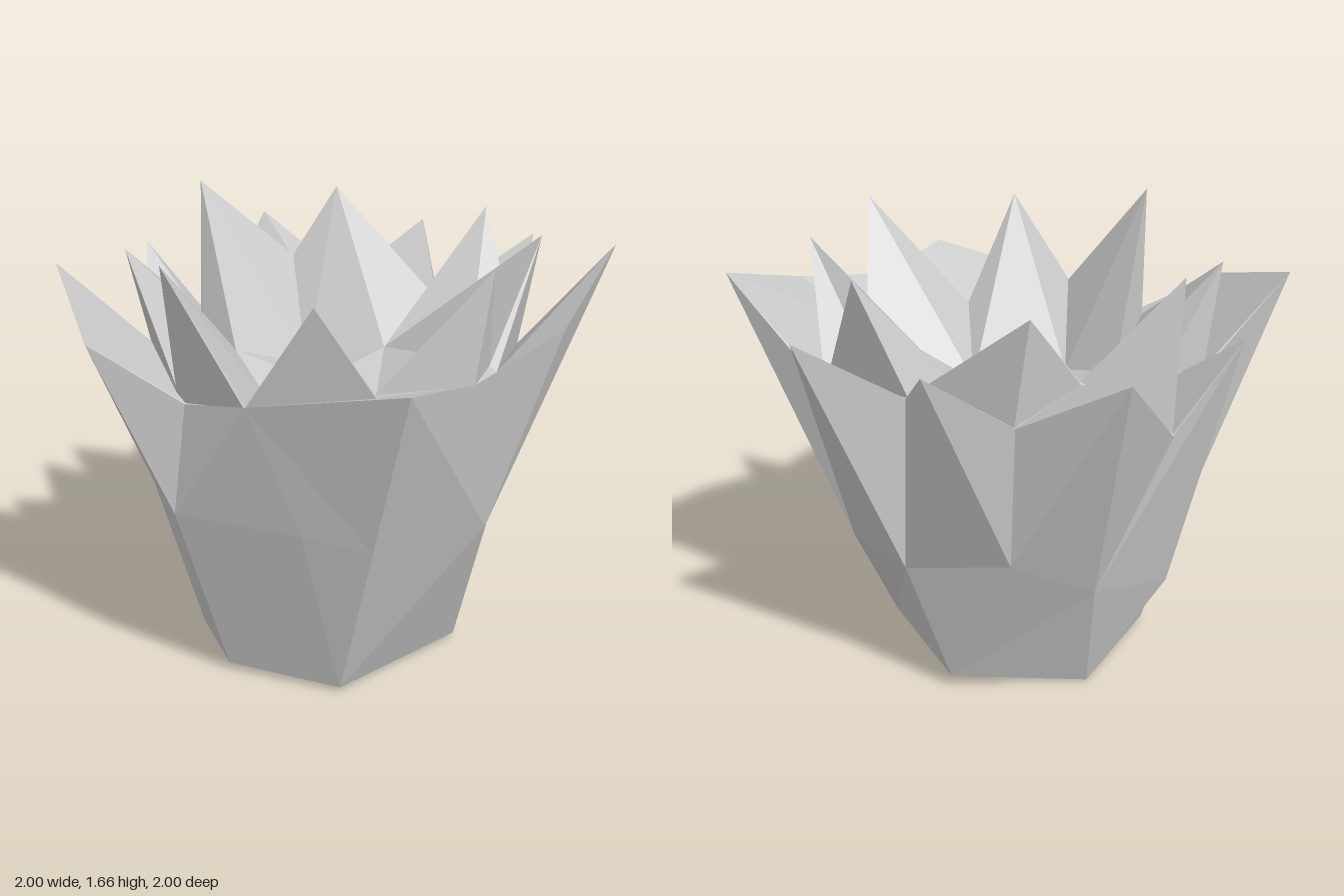
import * as THREE from 'three';

// Angle of each point around the plant; a fourth value overrides it (degrees)
const angles = (ring) => {
  let last = -Infinity;
  return [...ring, ring[0]].map(([x, , z, key]) => {
    let a = key ?? THREE.MathUtils.radToDeg(Math.atan2(x, z));
    while (a < last) a += 360;
    return (last = a);
  });
};

// Joins two closed rings, always stepping along the one whose next angle is smaller
function zip(upper, lower) {
  const ua = angles(upper), la = angles(lower), tris = [];
  const n = upper.length, m = lower.length;
  let i = 0, j = 0;
  while (i < n || j < m) {
    const a = upper[i % n], b = lower[j % m];
    if (j >= m || (i < n && ua[i + 1] < la[j + 1])) tris.push(a, b, upper[++i % n]);
    else tris.push(a, b, lower[++j % m]);
  }
  return tris;
}

// Closes a ring with a fan around a centre point
function fan(ring, centre, up) {
  return ring.flatMap((p, i) => {
    const q = ring[(i + 1) % ring.length];
    return up ? [centre, p, q] : [centre, q, p];
  });
}

export function createModel() {
  const group = new THREE.Group();
  const material = new THREE.MeshStandardMaterial({
    color: 0xcccccc, flatShading: true, side: THREE.DoubleSide,
  });
  const add = (name, tris) => {
    const geometry = new THREE.BufferGeometry();
    const positions = tris.flatMap((p) => p.slice(0, 3));
    geometry.setAttribute('position', new THREE.Float32BufferAttribute(positions, 3));
    geometry.computeVertexNormals();
    const mesh = new THREE.Mesh(geometry, material);
    mesh.name = name;
    group.add(mesh);
  };

  // Rings run from the front towards +x; each point is [x, y, z]
  const base = [
    [-0.15, 0.02, 0.54], [0.39, 0.02, 0.28], [0.36, 0.05, -0.33],
    [-0.14, 0, -0.46], [-0.53, 0.01, -0.11], [-0.51, 0.03, 0.27],
  ];
  const belly = [
    [-0.1, 0.685, 0.77], [0.39, 0.63, 0.57, 10], [0.6, 0.48, 0.12], [0.52, 0.53, -0.3],
    [0.23, 0.64, -0.62], [-0.09, 0.48, -0.63], [-0.44, 0.4, -0.5],
    [-0.69, 0.6, -0.21], [-0.71, 0.73, 0.36], [-0.32, 0.72, 0.64],
  ];
  // Outer leaf tips and the notches between them
  const rim = [
    [-0.05, 1.35, 1], [0.24, 1.29, 0.81], [0.64, 1.38, 0.62], [1, 1.55, 0.24],
    [0.71, 1.13, 0.06], [0.9, 1.45, -0.3], [0.51, 1.21, -0.33], [0.57, 1.43, -0.7],
    [0.24, 1.2, -0.69], [-0.04, 1.43, -1], [-0.35, 1.08, -0.69], [-0.59, 1.42, -0.72],
    [-0.67, 1.15, -0.3], [-1, 1.49, -0.3], [-0.97, 1.34, 0.2], [-0.66, 1.15, 0.37],
    [-0.51, 1.23, 0.65],
  ];
  // Low gutter where the outer and inner leaves meet
  const gutter = [
    [-0.04, 1.19, 0.6], [0.24, 1.28, 0.8], [0.44, 1.2, 0.5], [0.7, 1.13, 0.06],
    [0.505, 1.2, -0.325], [0.24, 1.2, -0.68], [0, 1.32, -0.675], [-0.35, 1.09, -0.68],
    [-0.44, 1.18, -0.42], [-0.66, 1.15, -0.295], [-0.67, 1.16, 0.28],
    [-0.655, 1.15, 0.36], [-0.51, 1.22, 0.64],
  ];
  // Inner leaf tips alternating with notches
  const crown = [
    [-0.3, 1.59, 0.75], [-0.04, 1.2, 0.59], [0.33, 1.65, 0.72], [0.42, 1.22, 0.48],
    [0.67, 1.63, 0.31], [0.5, 1.12, 0.07, 86], [0.65, 1.61, -0.19], [0.5, 1.21, -0.32],
    [0.2, 1.59, -0.72], [0, 1.33, -0.67], [-0.37, 1.66, -0.69], [-0.43, 1.2, -0.41],
    [-0.75, 1.54, -0.24], [-0.67, 1.18, 0.27], [-0.73, 1.66, 0.39], [-0.5, 1.23, 0.64],
  ];
  const floor = [
    [0.05, 0.99, 0.28, 10], [0.22, 1.1, -0.12, 50], [-0.05, 1, -0.29, 170],
    [-0.36, 1.13, -0.16, 210], [-0.3, 1.02, 0.18, 301],
  ];

  add('base', fan(base, [-0.1, 0, 0], false));
  add('lowerBody', zip(belly, base));
  add('outerLeaves', zip(rim, belly));
  add('outerLeafInsides', zip(gutter, rim));
  add('innerLeaves', zip(crown, gutter));
  add('innerLeafInsides', zip(floor, crown));
  add('heart', fan(floor, [-0.08, 1.03, 0], true));
  return group;
}
